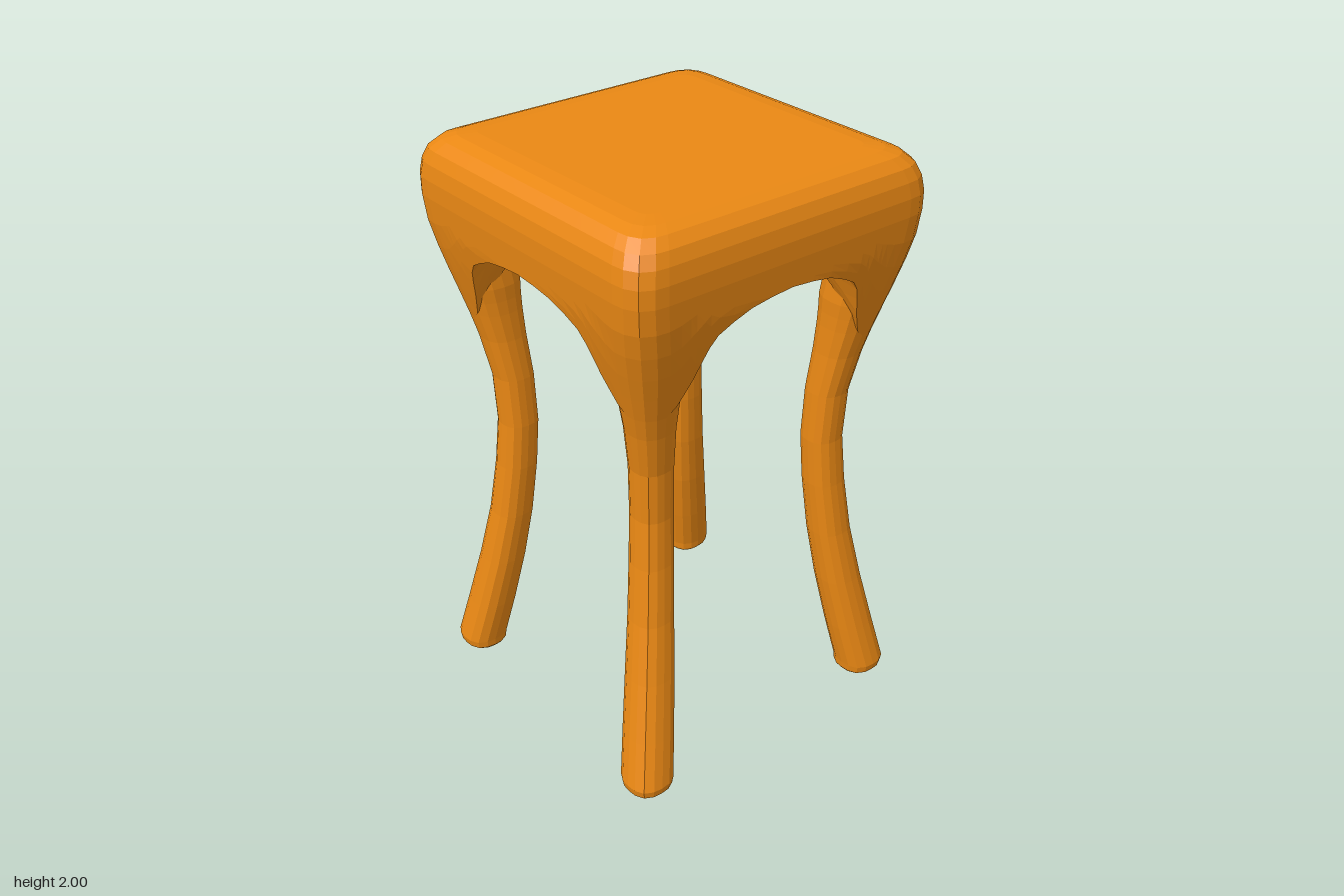
import * as THREE from 'three';

// [height, outer half width, corner radius] shared by the seat skin and the legs
const PROFILE = [
  [0, 0.558, 0.068], [0.008, 0.57, 0.077], [0.035, 0.575, 0.081], [0.2, 0.541, 0.079],
  [0.4, 0.501, 0.075], [0.6, 0.466, 0.07], [0.8, 0.443, 0.067], [0.97, 0.431, 0.065],
  [1.15, 0.438, 0.066], [1.3, 0.465, 0.074], [1.4, 0.49, 0.085], [1.5, 0.52, 0.102],
  [1.6, 0.548, 0.112], [1.7, 0.571, 0.112], [1.8, 0.58, 0.11], [1.86, 0.58, 0.11],
  [1.91, 0.572, 0.11], [1.95, 0.555, 0.105], [1.98, 0.524, 0.095], [1.994, 0.484, 0.08],
  [2, 0.43, 0.05],
];

// Lower rim of the apron: [distance from the middle of a side, height]
const ARCH = [[0, 1.71], [0.08, 1.703], [0.155, 1.69], [0.22, 1.663], [0.27, 1.635],
  [0.295, 1.6], [0.31, 1.56], [0.33, 1.5], [0.345, 1.465], [0.37, 1.41]];

// Corner radius and distance of the corner centre from the axis at a height
function section(y) {
  let i = 1;
  while (i < PROFILE.length - 1 && PROFILE[i][0] < y) i++;
  const [a, b] = [PROFILE[i - 1], PROFILE[i]];
  const t = (y - a[0]) / (b[0] - a[0]);
  const r = THREE.MathUtils.lerp(a[2], b[2], t);
  return { r, c: THREE.MathUtils.lerp(a[1], b[1], t) - r };
}

// Slightly squared circle
const squared = (a) => 1 + 0.08 * Math.sin(2 * a) ** 2;

// Joins equal closed rings, listed from top to bottom, into one surface
function loft(rings) {
  const n = rings[0].length;
  const index = [];
  for (let i = 0; i < rings.length - 1; i++) {
    for (let j = 0; j < n; j++) {
      const k = (j + 1) % n;
      const a = i * n + j, b = a + n, c = (i + 1) * n + k, d = i * n + k;
      index.push(a, b, c, a, c, d);
    }
  }
  const geometry = new THREE.BufferGeometry();
  geometry.setAttribute('position', new THREE.Float32BufferAttribute(rings.flat(2), 3));
  geometry.setIndex(index);
  geometry.computeVertexNormals();
  return geometry;
}

// Columns around the rounded square: straight stretches, then corner arcs
function makeColumns() {
  const columns = [];
  for (let side = 0; side < 4; side++) {
    const straight = (x, h, sign) => columns.push({ side, f: sign * x / section(h).c, a: 0, h });
    for (let i = ARCH.length - 1; i > 0; i--) straight(...ARCH[i], -1);
    for (const p of ARCH) straight(...p, 1);
    for (let k = 0; k <= 4; k++) columns.push({ side, f: 1, a: k * Math.PI / 8, h: 1.38 });
  }
  return columns;
}

function skinPoint({ side, f, a }, y) {
  const { r, c } = section(y);
  const x = f * c + r * squared(a) * Math.sin(a);
  const z = c + r * squared(a) * Math.cos(a);
  const turn = side * Math.PI / 2;
  return [x * Math.cos(turn) + z * Math.sin(turn), y, z * Math.cos(turn) - x * Math.sin(turn)];
}

function seatGeometry() {
  const columns = makeColumns();
  const rings = [columns.map(() => [0, 2, 0])];
  // rounded top edge
  for (const y of [2, 1.994, 1.98, 1.95, 1.91, 1.86]) {
    rings.push(columns.map((col) => skinPoint(col, y)));
  }
  // apron, reaching down to the arches and leg tops
  for (let i = 0; i <= 5; i++) {
    rings.push(columns.map((col) => skinPoint(col, THREE.MathUtils.lerp(1.8, col.h, i / 5))));
  }
  // hollow domed underside
  for (const t of [0.07, 0.15, 0.24, 0.34, 0.46, 0.6, 0.78, 1]) {
    rings.push(columns.map((col) => {
      const [x, y, z] = skinPoint(col, col.h);
      return [x * (1 - t), y + (1.85 - y) * (1 - (1 - t) ** 2.6), z * (1 - t)];
    }));
  }
  return loft(rings);
}

function legGeometry() {
  const sides = 16;
  const ring = (y, scale) => Array.from({ length: sides }, (_, j) => {
    const { r, c } = section(y);
    const a = j / sides * Math.PI * 2;
    const radius = r * scale * squared(a);
    return [c + radius * Math.sin(a), y, c + radius * Math.cos(a)];
  });
  const rings = [ring(1.72, 0)];
  // the top runs up just inside the apron
  for (const y of [1.72, 1.6, 1.5, 1.45]) rings.push(ring(y, 0.98));
  for (const [y] of PROFILE.filter((p) => p[0] <= 1.4).reverse()) rings.push(ring(y, 1));
  rings.push(ring(0, 0));
  return loft(rings);
}

export function createModel() {
  const wood = new THREE.MeshStandardMaterial({ color: 0xea8814, flatShading: true });
  const stool = new THREE.Group();
  stool.name = 'stool';

  const seat = new THREE.Mesh(seatGeometry(), wood);
  seat.name = 'seat';
  stool.add(seat);

  const geometry = legGeometry();
  ['frontLeftLeg', 'backLeftLeg', 'backRightLeg', 'frontRightLeg'].forEach((name, i) => {
    const leg = new THREE.Mesh(geometry, wood);
    leg.name = name;
    leg.rotation.y = i * Math.PI / 2;
    stool.add(leg);
  });
  return stool;
}
